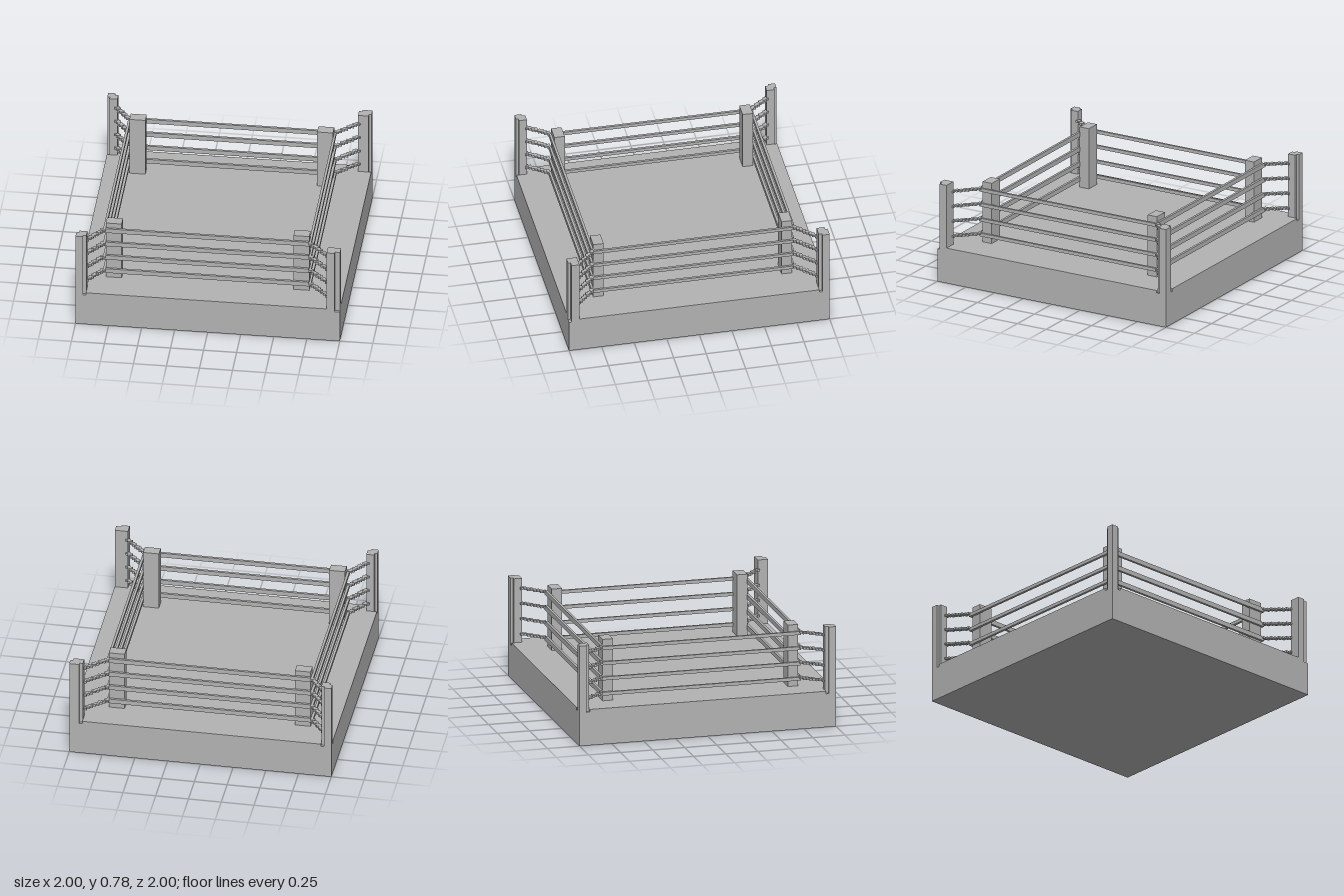
import * as THREE from 'three';

const ringGray = new THREE.MeshStandardMaterial({ color: 0xb2b2b2 });
ringGray.name = 'ringGray';

// Upright prism between two heights from [x, z] plan points
function prism(points, y0, y1) {
  const shape = new THREE.Shape(points.map(([x, z]) => new THREE.Vector2(x, -z)));
  const geometry = new THREE.ExtrudeGeometry(shape, { depth: y1 - y0, bevelEnabled: false });
  geometry.rotateX(-Math.PI / 2).translate(0, y0, 0);
  return geometry;
}

// Box given by its limits on each axis
function block(x0, x1, y0, y1, z0, z1) {
  return new THREE.BoxGeometry(x1 - x0, y1 - y0, z1 - z0)
    .translate((x0 + x1) / 2, (y0 + y1) / 2, (z0 + z1) / 2);
}

export function createModel() {
  const model = new THREE.Group();
  model.name = 'boxingRing';
  const add = (name, geometry, parent = model) => {
    const mesh = new THREE.Mesh(geometry, ringGray);
    mesh.name = name;
    parent.add(mesh);
  };

  const deck = 0.28, footY = 0.26, postTop = 0.78;
  const corners = [
    { name: 'backRight', sx: -1, sz: -1, w: 0.08 },
    { name: 'backLeft', sx: 1, sz: -1, w: 0.1 },
    { name: 'frontLeft', sx: 1, sz: 1, w: 0.1, cut: true },
    { name: 'frontRight', sx: -1, sz: 1, w: 0.08 },
  ];

  // Corner posts, with small notches where they meet the platform edge
  const d = 0.08, n = 0.02, s = 0.025;
  const outline = [];
  corners.forEach(({ name, sx, sz, w, cut }, i) => {
    const place = ([u, v]) => [sx * (1 - u), sz * (1 - v)];
    const post = cut
      ? [[0.04, 0], [w, 0], [w, d], [0, d], [0, n], [0.04, n]]
      : [[0, 0], [w - s, 0], [w - s, n], [w, n], [w, d], [n, d], [n, d - s], [0, d - s]];
    add(name + 'Post', prism(post.map(place), footY, postTop));
    const edge = cut
      ? [[0, n], [0.04, n], [0.04, 0]]
      : [[0, d], [n, d], [n, d - s], [0, d - s], [0, 0], [w - s, 0], [w - s, n], [w, n], [w, 0]];
    if (i % 2) edge.reverse();
    outline.push(...edge.map(place));
  });

  // Platform and its notched deck
  add('platform', block(-1, 1, 0, footY, -1, 1));
  add('deck', prism(outline, footY, deck));

  // Corner pads
  for (const x of [-0.8, 0.62]) {
    for (const z of [-0.765, 0.68]) {
      add('cornerPad', block(x, x + 0.12, deck, 0.76, z, z + 0.08));
    }
  }

  // Four levels of ropes, with stepped ties out to the posts
  const left = -0.82, right = 0.755, back = -0.783, front = 0.777, t = 0.019;
  for (let level = 0; level < 4; level++) {
    const top = 0.362 + level * 0.119, low = top - 0.036;
    const ropes = new THREE.Group();
    ropes.name = 'ropeLevel' + (level + 1);
    model.add(ropes);
    add('frontRope', block(left + t, right - t, low, top, front - t, front), ropes);
    add('backRope', block(left + t, right - t, low, top, back, back + t), ropes);
    add('rightRope', block(left, left + t, low, top - 0.01, back, front), ropes);
    add('leftRope', block(right - t, right, low, top - 0.01, back, front), ropes);
    const steps = 8;
    for (const { sx, sz, w } of corners) {
      const x0 = sx < 0 ? left : right, z0 = sz < 0 ? back : front;
      const x1 = sx * (1 - w + 0.02), z1 = sz * 0.94;
      for (let i = 0; i <= steps; i++) {
        const x = x0 + (x1 - x0) * i / steps, z = z0 + (z1 - z0) * i / steps;
        const y = top - 0.005 - (i % 2) * 0.003;
        add('ropeTie', block(x - 0.018, x + 0.018, y - 0.016, y, z - 0.012, z + 0.012), ropes);
      }
    }
  }
  return model;
}
